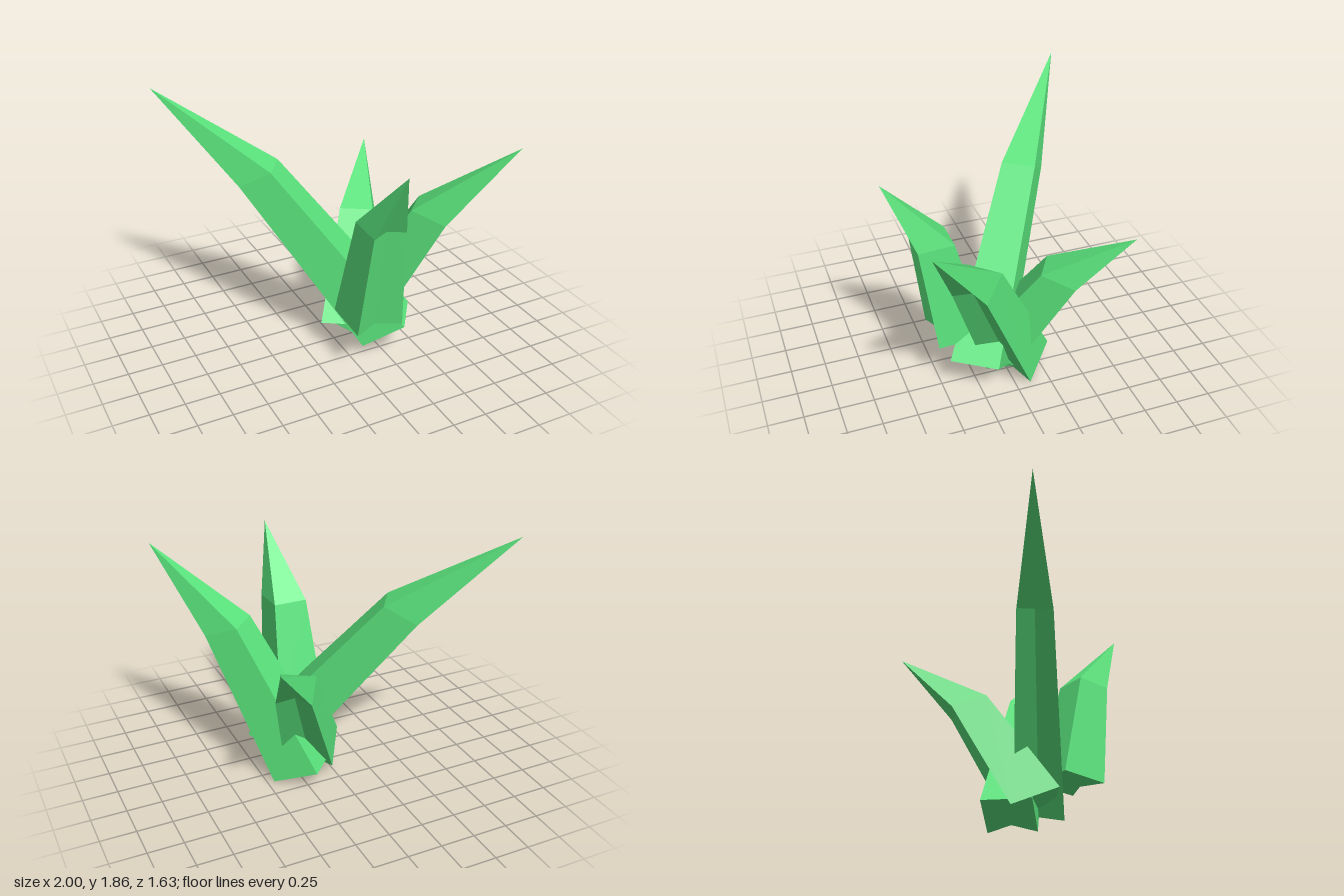
import * as THREE from 'three';

// Corners of one leaf section: a rectangle with a valley along its outer side.
// Order is counter-clockwise seen from above.
function section(center, out, tiltDeg, halfWidth, halfDepth) {
  const tilt = THREE.MathUtils.degToRad(tiltDeg);
  const side = new THREE.Vector3(out.z, 0, -out.x);
  const depth = out.clone().multiplyScalar(Math.cos(tilt));
  depth.y = -Math.sin(tilt);
  const corners = [[-1, 1], [0, 0.55], [1, 1], [1, -1], [-1, -1]];
  return corners.map(([s, d]) => new THREE.Vector3(...center)
    .addScaledVector(side, s * halfWidth)
    .addScaledVector(depth, d * halfDepth));
}

// A leaf: square base section, narrower middle section, pointed tip.
function makeLeaf({ name, dir, base, baseTilt, mid, midTilt, tip }, material) {
  const out = new THREE.Vector3(dir[0], 0, dir[1]).normalize();
  const low = section(base, out, baseTilt, 0.175, 0.176);
  const high = section(mid, out, midTilt, 0.121, 0.128);
  const point = new THREE.Vector3(...tip);
  const points = [];
  const n = low.length;
  for (let i = 0; i < n; i++) {
    const j = (i + 1) % n;
    points.push(low[i], low[j], high[j], low[i], high[j], high[i]);
    points.push(high[i], high[j], point);
  }
  // Base cap, fanned from the valley corner
  for (let k = 2; k < n; k++) points.push(low[1], low[(k + 1) % n], low[k]);

  const geometry = new THREE.BufferGeometry().setFromPoints(points);
  geometry.computeVertexNormals();
  const mesh = new THREE.Mesh(geometry, material);
  mesh.name = name;
  return mesh;
}

export function createModel() {
  const group = new THREE.Group();
  group.name = 'plant';
  const green = new THREE.MeshStandardMaterial({ color: 0x5ae37c, flatShading: true });

  const leaves = [
    { name: 'tallLeaf', dir: [-0.82, -0.57], base: [0.312, 0.18, 0.225], baseTilt: 33,
      mid: [-0.41, 1.305, -0.355], midTilt: 28, tip: [-1, 1.875, -0.815] },
    { name: 'frontLeaf', dir: [0, 1], base: [0.1, 0.37, 0.338], baseTilt: 3,
      mid: [0.1, 1.155, 0.49], midTilt: 3, tip: [0.1, 1.64, 0.815] },
    { name: 'sideLeaf', dir: [0.72, 0.69], base: [0.212, 0.076, -0.095], baseTilt: 22,
      mid: [0.592, 1.09, 0.335], midTilt: 20, tip: [1, 1.635, 0.738] },
    { name: 'backLeaf', dir: [0.53, -0.85], base: [0.1, 0.157, 0.02], baseTilt: 22,
      mid: [0.372, 0.865, -0.347], midTilt: 21, tip: [0.645, 1.22, -0.757] },
  ];
  for (const leaf of leaves) group.add(makeLeaf(leaf, green));
  return group;
}
